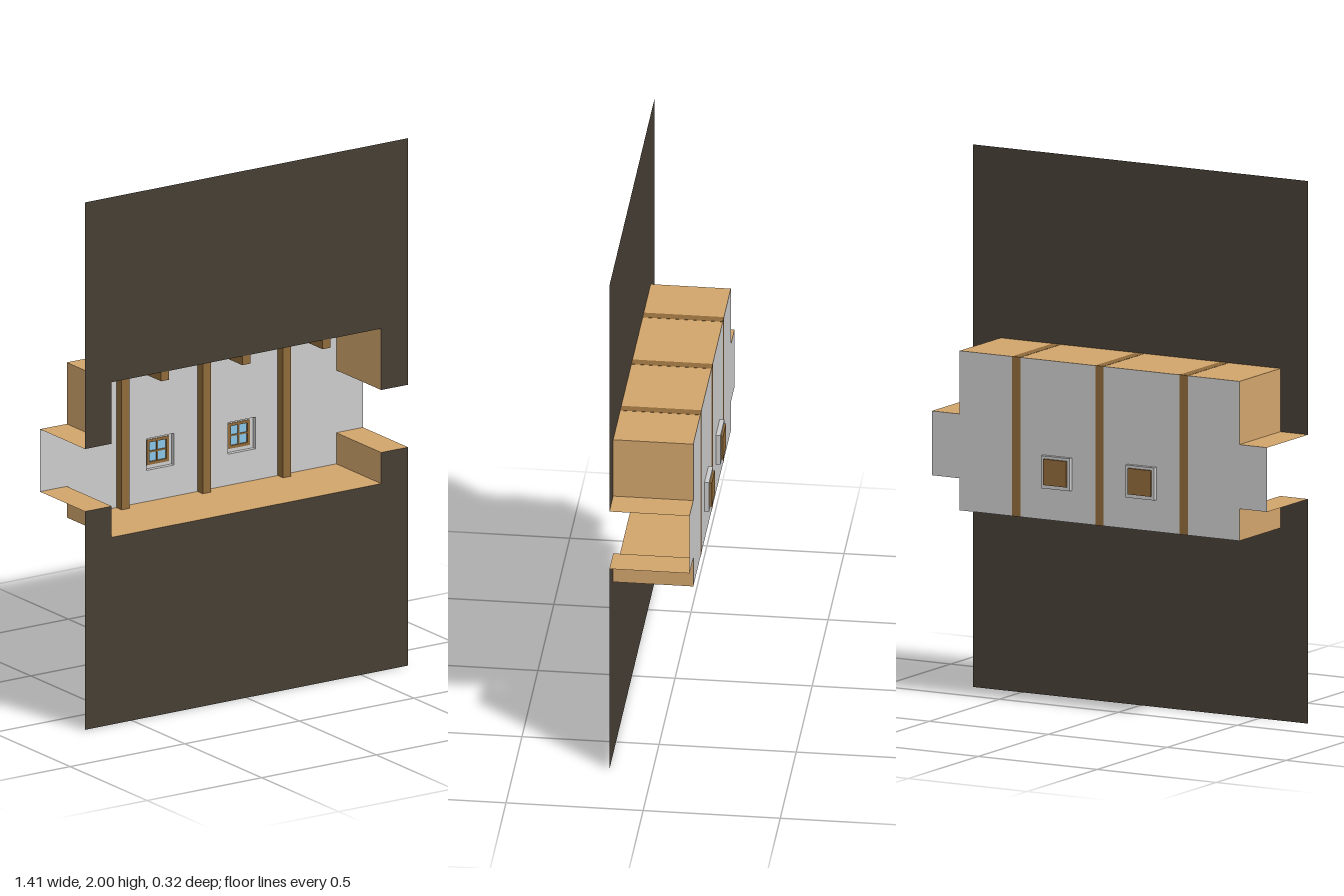
import * as THREE from 'three';

const FRONT = 0.157, BACK = -0.135;            // depth of the room
const W = 0.705, ROOM = 0.588;                 // half widths: corridor ends, room
const FLOOR = 0.71, CEIL = 1.298;              // room heights
const LOW = 0.828, HIGH = 1.065;               // corridor heights

const mat = (color) => new THREE.MeshStandardMaterial({ color, side: THREE.DoubleSide, flatShading: true });

function add(parent, name, geometry, material, x = 0, y = 0, z = 0) {
  const mesh = new THREE.Mesh(geometry, material);
  mesh.name = name;
  mesh.position.set(x, y, z);
  parent.add(mesh);
  return mesh;
}

const shapeOf = (pts) => new THREE.Shape(pts.map(([x, y]) => new THREE.Vector2(x, y)));

// Square outline around a centre
const square = (x, y, s) => [[x - s, y - s], [x + s, y - s], [x + s, y + s], [x - s, y + s]];

function ringShape(outer, inner) {
  const s = shapeOf(square(0, 0, outer));
  s.holes.push(shapeOf(square(0, 0, inner)));
  return s;
}

// Sheet swept in z along an open or closed outline
function sweep(pts, z0, z1) {
  const pos = [];
  for (let i = 0; i < pts.length - 1; i++) {
    const [ax, ay] = pts[i], [bx, by] = pts[i + 1];
    pos.push(ax, ay, z0, bx, by, z0, bx, by, z1, ax, ay, z0, bx, by, z1, ax, ay, z1);
  }
  const g = new THREE.BufferGeometry();
  g.setAttribute('position', new THREE.Float32BufferAttribute(pos, 3));
  g.computeVertexNormals();
  return g;
}

export function createModel() {
  const model = new THREE.Group();
  model.name = 'cutawayRoom';
  const dark = mat(0x463e34), tan = mat(0xd2a56c), brown = mat(0x8f6a3a);
  const grey = mat(0xcccccc), glass = mat(0x88c4e6);

  // Stepped outlines: room in the middle, lower corridor at each end
  const ceiling = [[-W, HIGH], [-ROOM, HIGH], [-ROOM, CEIL], [ROOM, CEIL], [ROOM, HIGH], [W, HIGH]];
  const floor = [[W, LOW], [ROOM, LOW], [ROOM, FLOOR], [-ROOM, FLOOR], [-ROOM, LOW], [-W, LOW]];

  // Dark cutaway panels above and below the opening
  add(model, 'upperPanel', new THREE.ShapeGeometry(shapeOf([...ceiling, [W, 2], [-W, 2]])), dark, 0, 0, FRONT);
  add(model, 'lowerPanel', new THREE.ShapeGeometry(shapeOf([...floor, [-W, 0], [W, 0]])), dark, 0, 0, FRONT);

  // Ceiling, floor and side walls
  add(model, 'ceilingAndUpperWalls', sweep(ceiling, BACK, FRONT), tan);
  add(model, 'floorAndLowerWalls', sweep(floor, BACK, FRONT), tan);

  // Back wall with window openings
  const windowXs = [-0.179, 0.176], windowY = 0.888;
  const wall = shapeOf([...ceiling, ...floor]);
  for (const x of windowXs) wall.holes.push(shapeOf(square(x, windowY, 0.06)));
  add(model, 'backWall', new THREE.ShapeGeometry(wall), grey, 0, 0, BACK);

  // Timber posts and ceiling beams, just showing through the outer faces
  const skin = 0.0008, t = 0.035;
  for (const x of [-0.354, 0, 0.35]) {
    add(model, 'post', new THREE.BoxGeometry(t, CEIL - FLOOR, t), brown,
      x, (CEIL + FLOOR) / 2, BACK + t / 2 - skin);
    add(model, 'ceilingBeam', new THREE.BoxGeometry(t, t, FRONT - BACK - 0.002), brown,
      x, CEIL - t / 2 + skin, (FRONT + BACK) / 2);
  }

  // Recessed windows
  for (const x of windowXs) {
    const win = new THREE.Group();
    win.name = 'window';
    win.position.set(x, windowY, 0);
    model.add(win);

    const sides = square(0, 0, 0.06);
    add(win, 'recess', sweep([...sides, sides[0]], -0.152, BACK), grey);
    add(win, 'recessBack', new THREE.ShapeGeometry(ringShape(0.06, 0.046)), grey, 0, 0, -0.152);
    add(win, 'windowBack', new THREE.BoxGeometry(0.096, 0.096, 0.003), brown, -0.002, 0.002, -0.1585);
    add(win, 'windowFrame', new THREE.ExtrudeGeometry(ringShape(0.048, 0.037),
      { depth: 0.009, bevelEnabled: false }), brown, -0.002, 0.002, -0.158);
    add(win, 'pane', new THREE.PlaneGeometry(0.074, 0.074), glass, -0.002, 0.002, -0.1555);
    add(win, 'verticalBar', new THREE.BoxGeometry(0.006, 0.076, 0.005), brown, -0.002, 0.002, -0.154);
    add(win, 'horizontalBar', new THREE.BoxGeometry(0.076, 0.006, 0.005), brown, -0.002, 0.002, -0.154);
  }
  return model;
}
